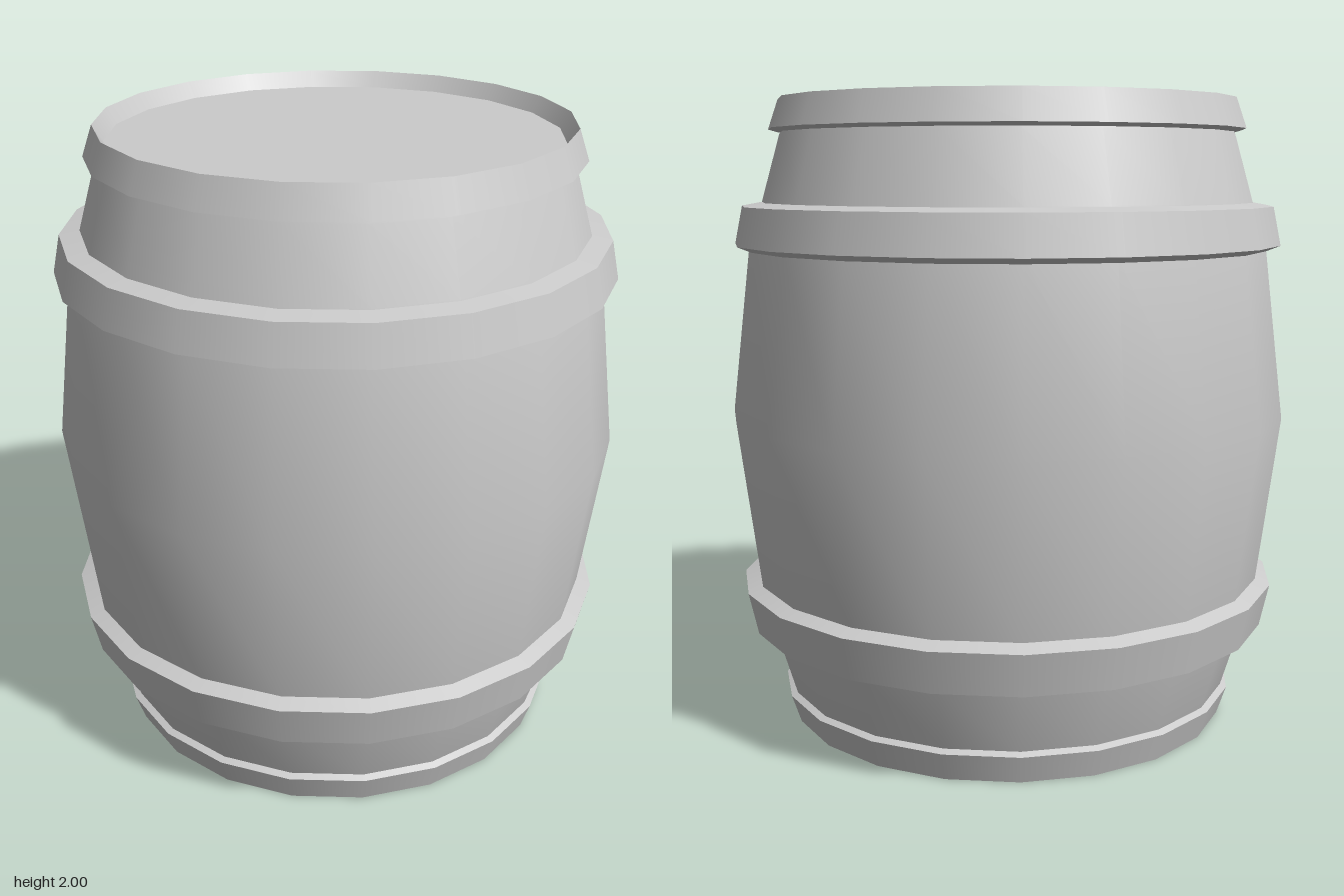
import * as THREE from 'three';
import { mergeGeometries } from 'three/addons/utils/BufferGeometryUtils.js';

const SIDES = 20;
const START = THREE.MathUtils.degToRad(-3.8);

// Revolve a profile of [radius, y] points, listed upwards on outer faces
const revolve = (profile) =>
  new THREE.LatheGeometry(profile.map(([r, y]) => new THREE.Vector2(r, y)), SIDES, START);

// Revolve each profile segment on its own so the edges between them stay sharp
const revolveSharp = (profile) =>
  mergeGeometries(profile.slice(1).map((p, i) => revolve([profile[i], p])));

export function createModel() {
  const barrel = new THREE.Group();
  barrel.name = 'barrel';
  const material = new THREE.MeshStandardMaterial({ color: 0xcccccc });

  const add = (name, geometry) => {
    const mesh = new THREE.Mesh(geometry, material);
    mesh.name = name;
    barrel.add(mesh);
  };

  // Bulging staves, smooth from end to end
  add('staves', revolve([
    [0.70, 0.04], [0.73, 0.10], [0.79, 0.30], [0.832, 0.46], [0.90, 1.0],
    [0.835, 1.54], [0.79, 1.68], [0.73, 1.89], [0.70, 1.95],
  ]));

  // Two wide hoops round the belly
  add('lowerHoop', revolveSharp([[0.79, 0.305], [0.85, 0.315], [0.88, 0.45], [0.83, 0.47]]));
  add('upperHoop', revolveSharp([[0.83, 1.525], [0.88, 1.545], [0.855, 1.665], [0.79, 1.677]]));

  // End hoops, whose inner lips slope in to the recessed heads
  add('bottomHoop', revolveSharp([[0.70, 0.04], [0.72, 0], [0.75, 0.09], [0.73, 0.10]]));
  add('topHoop', revolveSharp([[0.73, 1.895], [0.765, 1.905], [0.732, 2.0], [0.70, 1.95]]));

  // Flat round heads
  add('bottomHead', revolve([[0, 0.04], [0.70, 0.04]]));
  add('topHead', revolve([[0.70, 1.95], [0, 1.95]]));

  return barrel;
}
